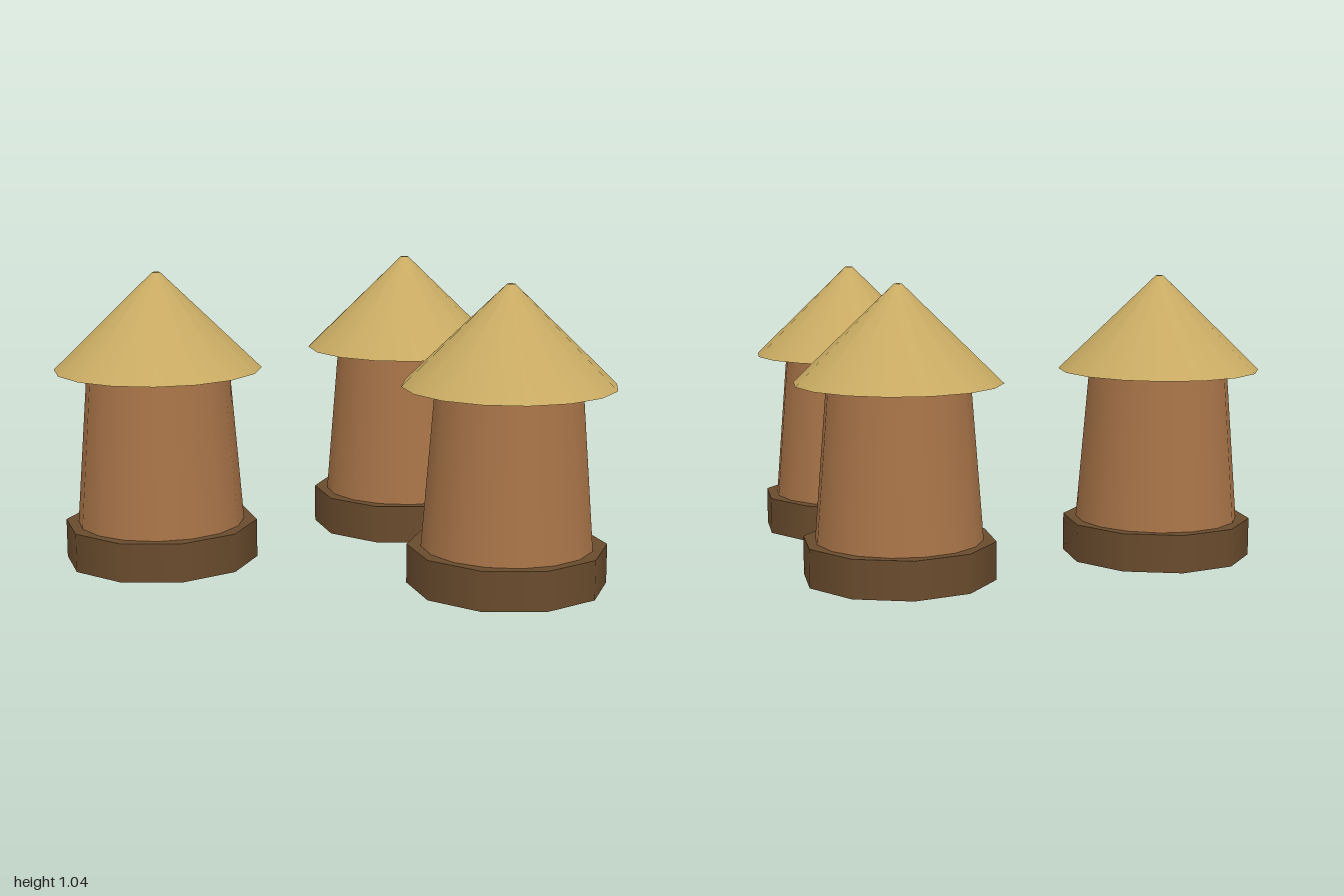
import * as THREE from 'three';

const material = (name, color) => {
  const m = new THREE.MeshStandardMaterial({ color });
  m.name = name;
  return m;
};

// Tapered round part standing between two heights
function roundPart(name, mat, rTop, rBottom, y0, y1, sides) {
  const geometry = new THREE.CylinderGeometry(rTop, rBottom, y1 - y0, sides);
  geometry.translate(0, (y0 + y1) / 2, 0);
  const mesh = new THREE.Mesh(geometry, mat);
  mesh.name = name;
  return mesh;
}

export function createModel() {
  const stone = material('dark brown', 0x694b2d);
  const clay = material('clay brown', 0xa87448);
  const thatch = material('straw', 0xc8aa62);

  const model = new THREE.Group();
  model.name = 'huts';

  // Three identical huts, placed by x and z
  const places = [[0.055, -0.38], [-0.632, 0.377], [0.632, 0.308]];
  places.forEach(([x, z], i) => {
    const hut = new THREE.Group();
    hut.name = `hut${i + 1}`;
    hut.add(
      roundPart('base', stone, 0.345, 0.345, 0, 0.138, 10),
      roundPart('wall', clay, 0.253, 0.298, 0.138, 0.695, 16),
      roundPart('roof', thatch, 0.014, 0.368, 0.693, 1.037, 16)
    );
    hut.position.set(x, 0, z);
    model.add(hut);
  });
  return model;
}
